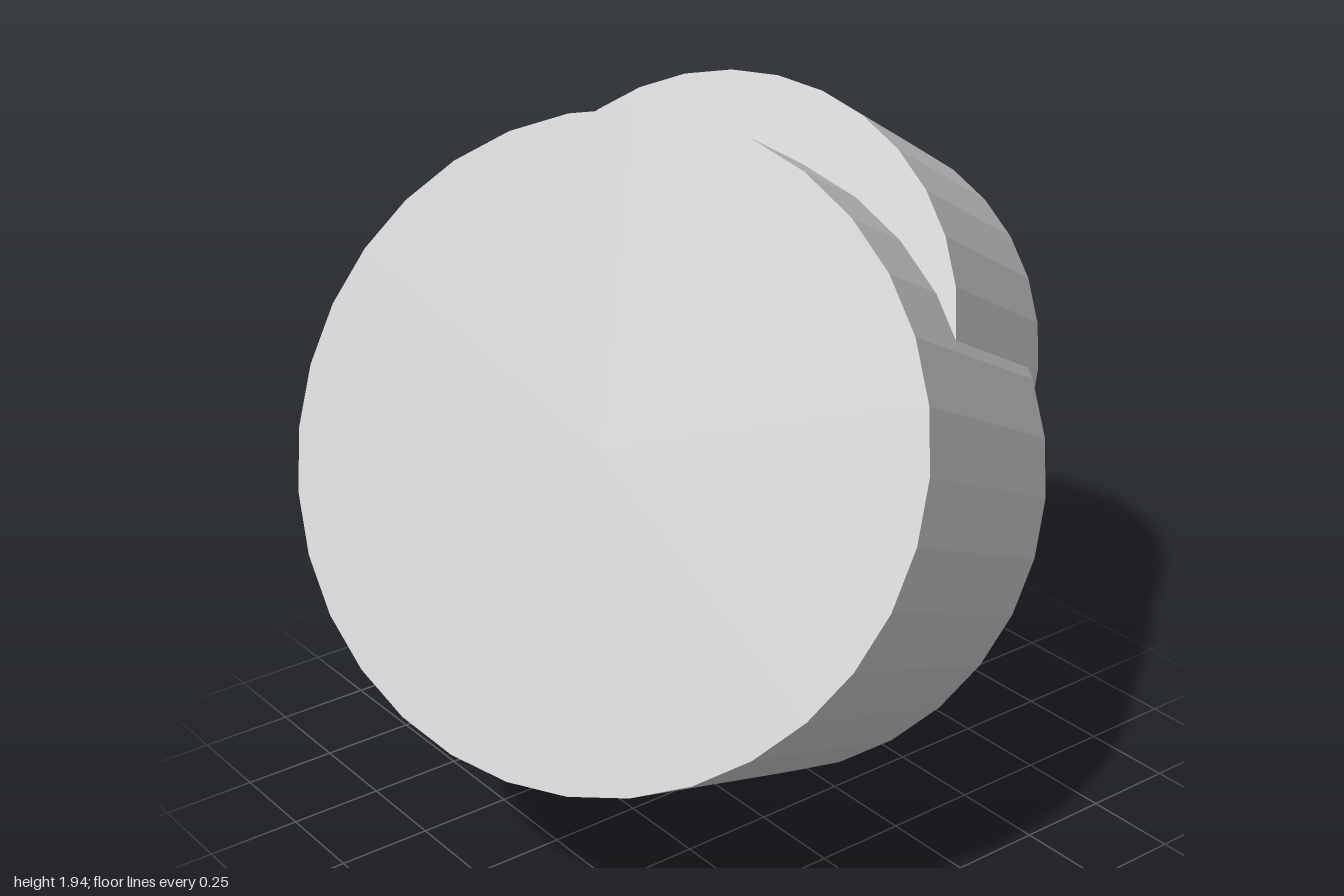
import * as THREE from 'three';

const SIDES = 32;
const material = new THREE.MeshStandardMaterial({ color: 0xcccccc, flatShading: true });

// Shared tilted axis of both drums, pointing out of the front caps
const axis = new THREE.Vector3(0.42, 0.44, 0.793).normalize();
const across = new THREE.Vector3(axis.z, 0, -axis.x).normalize();
const tilt = new THREE.Matrix4().makeBasis(across, axis, across.clone().cross(axis));

// Closed cylinder running backwards along the axis from its front cap centre
function drum(name, frontCentre, radius, length) {
  const geometry = new THREE.CylinderGeometry(radius, radius, length, SIDES, 1, false, Math.PI / SIDES);
  const mesh = new THREE.Mesh(geometry, material);
  mesh.name = name;
  mesh.quaternion.setFromRotationMatrix(tilt);
  mesh.position.copy(frontCentre).addScaledVector(axis, -length / 2);
  return mesh;
}

export function createModel() {
  const model = new THREE.Group();
  model.name = 'offsetDrums';
  model.add(
    drum('largeDrum', new THREE.Vector3(0.225, 1.208, 0.5), 0.821, 1.075),
    drum('smallDrum', new THREE.Vector3(0.048, 1.362, 0.03), 0.644, 0.805)
  );
  return model;
}
